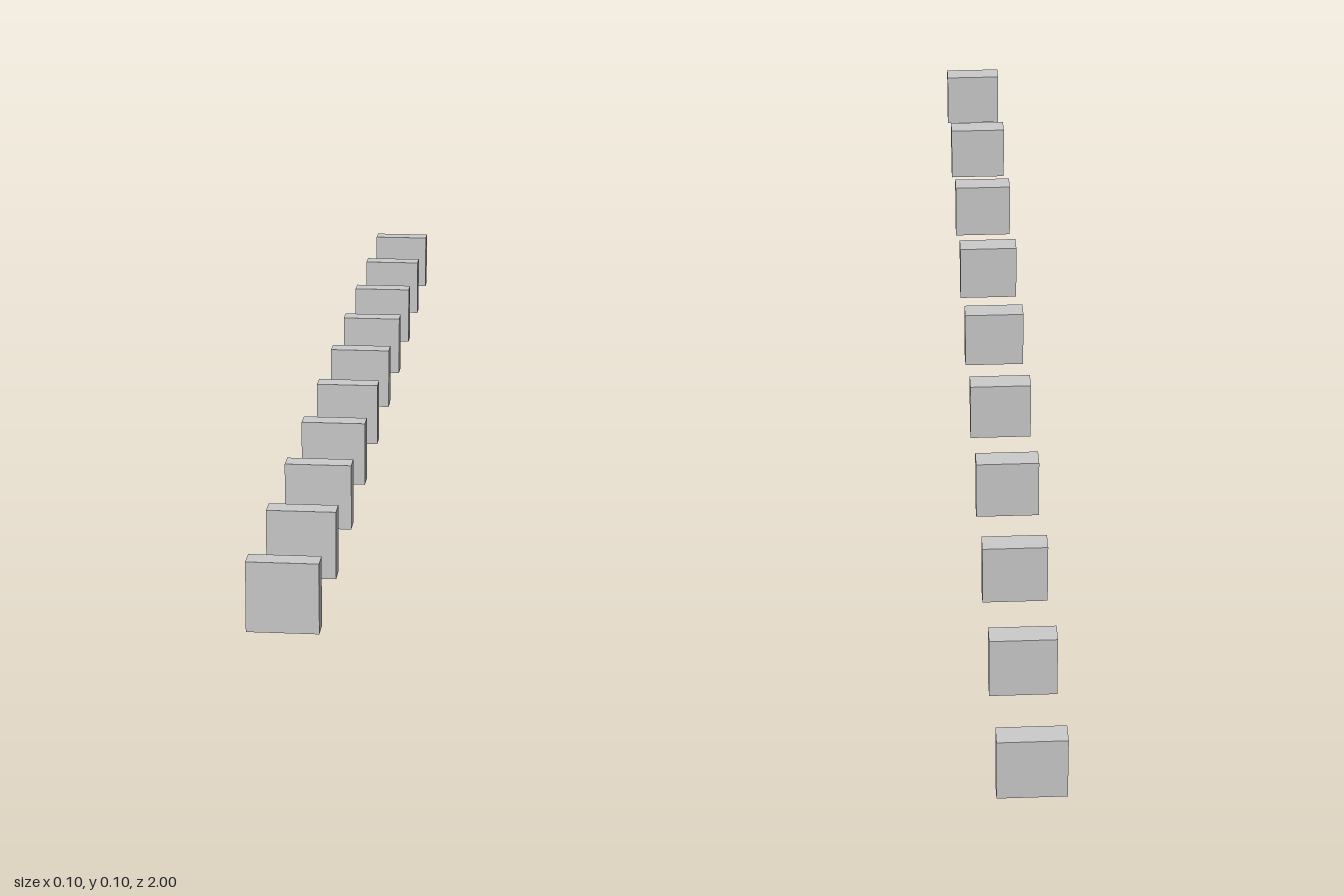
import * as THREE from 'three';

const COUNT = 10;
const SIZE = 0.096; // width and height of each block
const DEPTH = 0.032;
const LENGTH = 2; // whole row, front to back

export function createModel() {
  const model = new THREE.Group();
  model.name = 'blockRow';

  const material = new THREE.MeshStandardMaterial({ color: 0xcccccc, flatShading: true });
  const geometry = new THREE.BoxGeometry(SIZE, SIZE, DEPTH);
  const spacing = (LENGTH - DEPTH) / (COUNT - 1);

  // Evenly spaced upright blocks, from front to back
  for (let i = 0; i < COUNT; i++) {
    const block = new THREE.Mesh(geometry, material);
    block.name = `block${i + 1}`;
    block.position.set(0, SIZE / 2, (LENGTH - DEPTH) / 2 - i * spacing);
    model.add(block);
  }
  return model;
}
